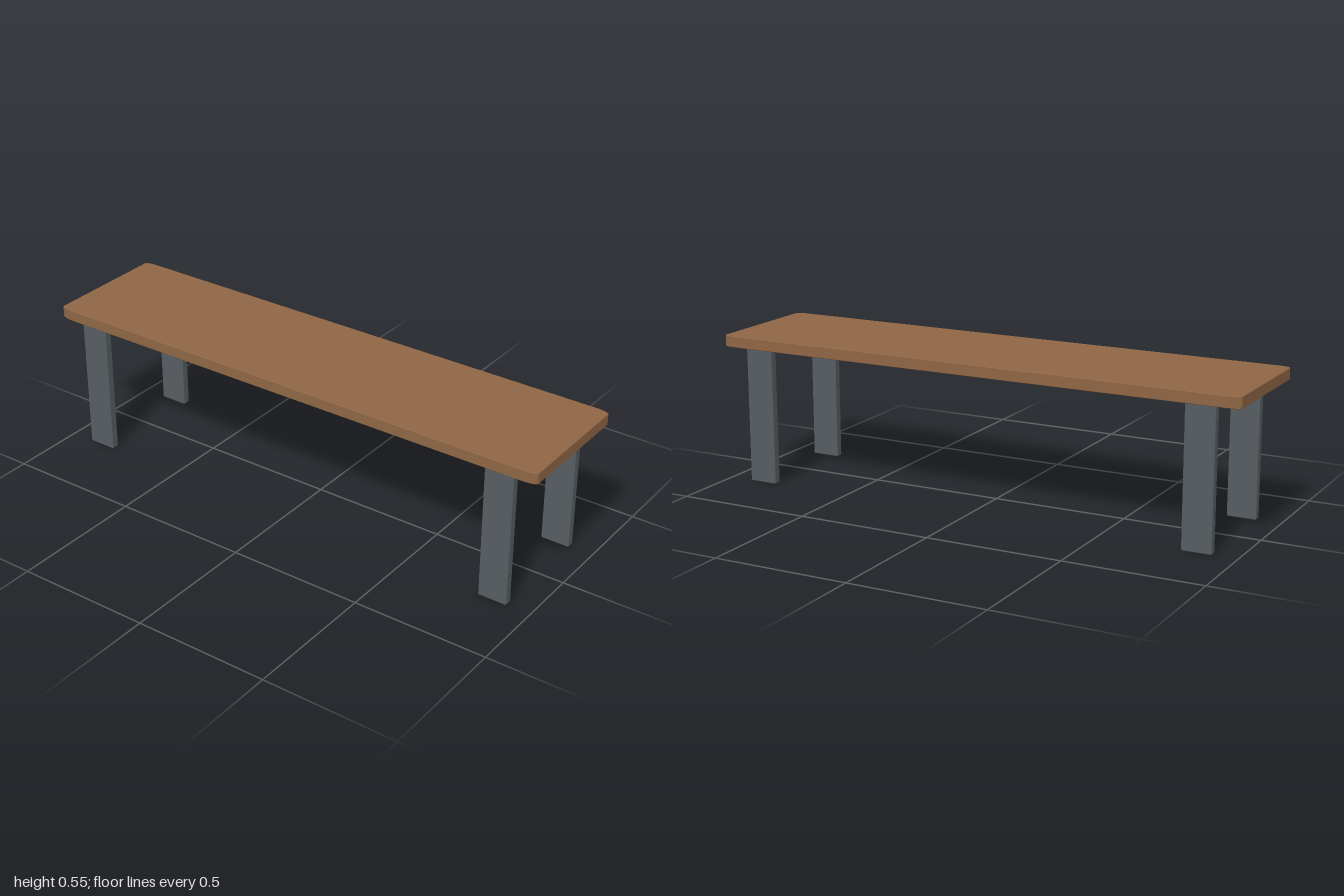
import * as THREE from 'three';
import { RoundedBoxGeometry } from 'three/addons/geometries/RoundedBoxGeometry.js';

export function createModel() {
  const bench = new THREE.Group();
  bench.name = 'bench';
  const wood = new THREE.MeshStandardMaterial({ color: 0x8f6645 });
  wood.name = 'brown wood';
  const metal = new THREE.MeshStandardMaterial({ color: 0x565d61 });
  metal.name = 'dark grey metal';

  // Seat: long slab whose plan corners are shallow elliptical curves
  const X = 1, Z = 0.242, rx = 0.05, rz = 0.014;
  const bottom = 0.503, top = 0.545, bevel = 0.002;
  const plan = new THREE.Shape();
  const corners = [[1, 1], [-1, 1], [-1, -1], [1, -1]];
  corners.forEach(([sx, sz], i) => {
    plan.absellipse(sx * (X - bevel - rx), sz * (Z - bevel - rz), rx, rz,
      i * Math.PI / 2, (i + 1) * Math.PI / 2, false, 0);
  });
  const slab = new THREE.ExtrudeGeometry(plan, {
    depth: top - bottom - 2 * bevel, bevelEnabled: true, bevelThickness: bevel,
    bevelSize: bevel, bevelSegments: 1, curveSegments: 5,
  });
  slab.rotateX(-Math.PI / 2);
  slab.translate(0, bottom + bevel, 0);
  const seat = new THREE.Mesh(slab, wood);
  seat.name = 'seat';
  bench.add(seat);

  // Legs: four flat upright bars with softened edges
  const legHeight = 0.505;
  const legGeometry = new RoundedBoxGeometry(0.108, legHeight, 0.031, 2, 0.005);
  for (const [sx, sz] of corners) {
    const leg = new THREE.Mesh(legGeometry, metal);
    leg.name = (sz > 0 ? 'front' : 'back') + (sx > 0 ? 'Left' : 'Right') + 'Leg';
    leg.position.set(sx * 0.857, legHeight / 2, sz * 0.21);
    bench.add(leg);
  }
  return bench;
}
